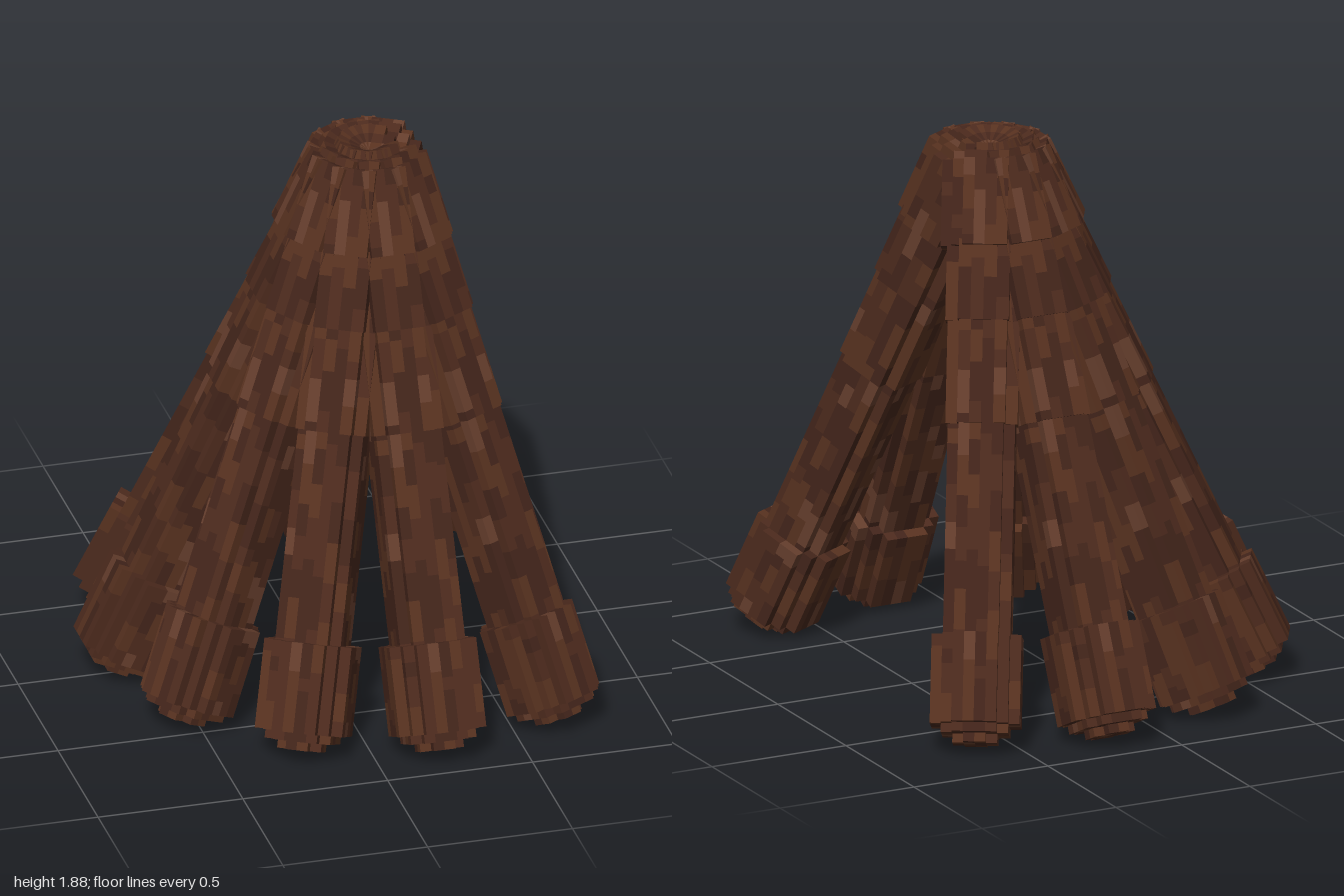
import * as THREE from 'three';
import { mergeGeometries } from 'three/addons/utils/BufferGeometryUtils.js';

const CELL = 0.0375;
const LENGTH = 1.89;
const TILT = THREE.MathUtils.degToRad(25.3);
const SHADES = [0x42241a, 0x4c2a1d, 0x57311f, 0x643d2c];

// Stepped round cross-sections: cells per row
const THICK = [4, 6, 8, 8, 8, 8, 6, 4];
const BODY = [4, 6, 6, 6, 6, 4];
const CORE = [2, 4, 4, 2];

let seed = 7;
const rand = () => (seed = (seed * 16807) % 2147483647) / 2147483647;
const pickShade = () => {
  const r = rand();
  return r < 0.3 ? 0 : r < 0.65 ? 1 : r < 0.9 ? 2 : 3;
};

// Centres of the cells in a cross-section, optionally only its outer ring
function cells(rows, ringOnly) {
  const n = rows.length;
  const has = (i, j) => i >= 0 && i < n && Math.abs(j - (n - 1) / 2) < rows[i] / 2;
  const list = [];
  for (let i = 0; i < n; i++) {
    for (let j = 0; j < n; j++) {
      if (!has(i, j)) continue;
      const inner = has(i - 1, j) && has(i + 1, j) && has(i, j - 1) && has(i, j + 1);
      if (ringOnly && inner) continue;
      list.push([i - (n - 1) / 2, j - (n - 1) / 2]);
    }
  }
  return list;
}

// Staves running down from distance a to b, cut into bricks of random length
function addStaves(bins, rows, a, b, { ringOnly = true, scale = 1, brick = 0.1 } = {}) {
  const s = CELL * scale;
  for (const [u, v] of cells(rows, ringOnly)) {
    let start = a;
    while (start < b - 1e-4) {
      let end = start + brick * (0.5 + rand());
      if (end > b - 0.03) end = b;
      const box = new THREE.BoxGeometry(s, end - start, s);
      box.translate(u * s, -(start + end) / 2, v * s);
      bins[pickShade()].push(box);
      start = end;
    }
  }
}

// One log, measured downwards from the top of its upper collar
function logGeometries() {
  const bins = SHADES.map(() => []);
  addStaves(bins, BODY, 0, LENGTH);
  // collars at both ends
  addStaves(bins, THICK, 0, 0.29, { brick: 0.08 });
  addStaves(bins, THICK, LENGTH - 0.3, LENGTH, { brick: 0.08 });
  // thin overlapping bark sleeves
  addStaves(bins, BODY, 0.27, 0.54, { scale: 1.14 });
  addStaves(bins, BODY, 0.52, 0.885, { scale: 1.07 });
  // stepped end caps
  for (const [rows, out] of [[BODY, 0.03], [CORE, 0.06]]) {
    addStaves(bins, rows, -out, 0, { ringOnly: false });
    addStaves(bins, rows, LENGTH, LENGTH + out, { ringOnly: false });
  }
  return bins.map((bin) => mergeGeometries(bin));
}

export function createModel() {
  const model = new THREE.Group();
  model.name = 'logPile';
  const geometries = logGeometries();
  const materials = SHADES.map((color) => new THREE.MeshStandardMaterial({ color }));

  // Nine leaning logs, leaving an opening on the +x side
  for (let i = 0; i < 9; i++) {
    const log = new THREE.Group();
    log.name = 'log' + (i + 1);
    log.position.set(0.21, 0, 0);
    log.rotation.y = THREE.MathUtils.degToRad(60 + i * 30);
    const lean = new THREE.Group();
    lean.name = 'leaningLog';
    lean.position.set(0.055, 1.81, 0);
    lean.rotation.z = TILT;
    geometries.forEach((geometry, k) => {
      const mesh = new THREE.Mesh(geometry, materials[k]);
      mesh.name = 'barkShade' + (k + 1);
      lean.add(mesh);
    });
    log.add(lean);
    model.add(log);
  }
  return model;
}
